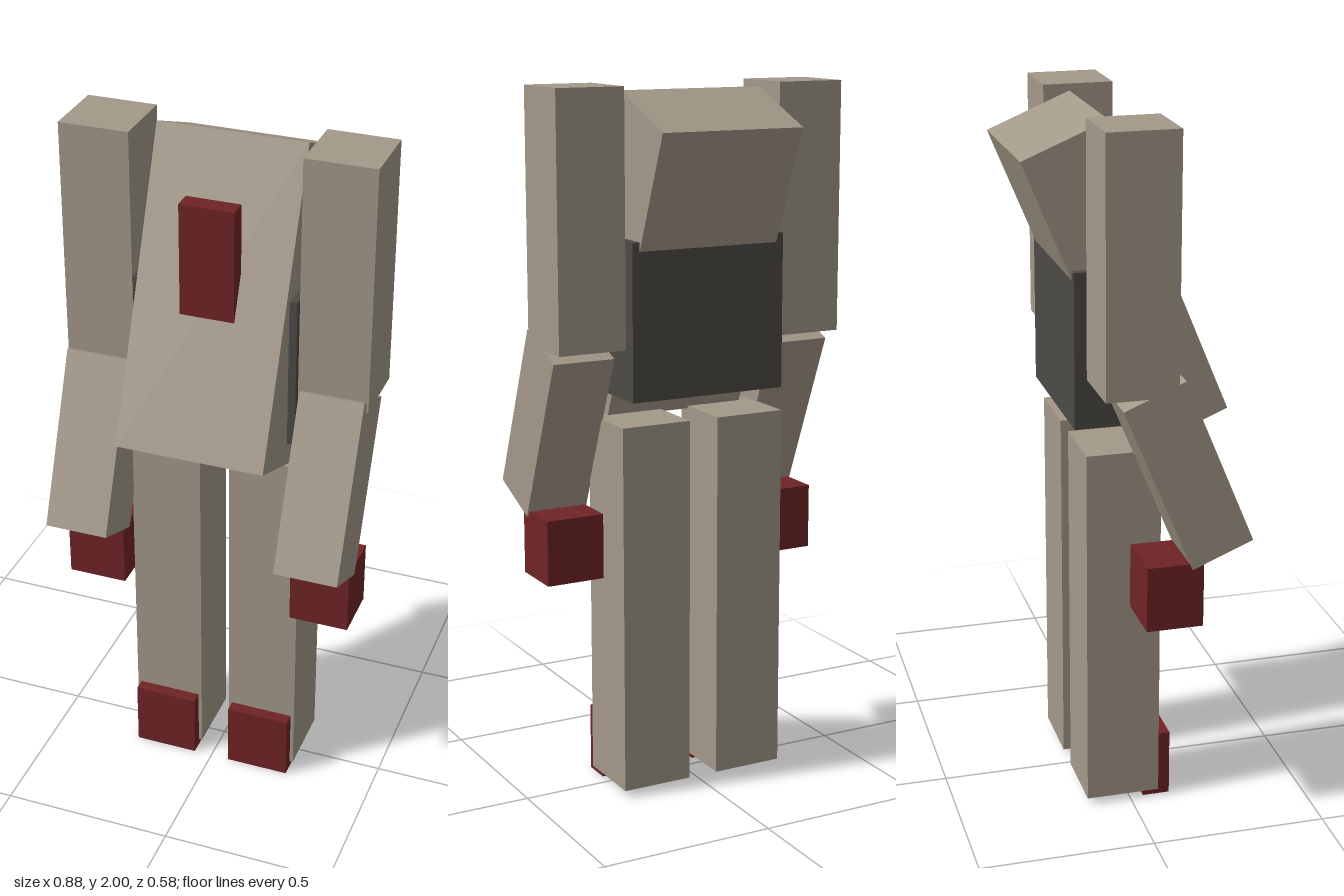
import * as THREE from 'three';

export function createModel() {
  const model = new THREE.Group();
  model.name = 'blockFigure';

  const material = (name, color) => {
    const m = new THREE.MeshStandardMaterial({ color });
    m.name = name;
    return m;
  };
  const taupe = material('taupe', 0xa39989);
  const charcoal = material('charcoal', 0x4d4a45);
  const red = material('darkRed', 0x702325);

  // Box given by size and centre, optionally leaning back about x
  const box = (name, mat, [w, h, d], [x, y, z], lean = 0) => {
    const mesh = new THREE.Mesh(new THREE.BoxGeometry(w, h, d), mat);
    mesh.name = name;
    mesh.position.set(x, y, z);
    mesh.rotation.x = -lean;
    model.add(mesh);
  };

  const LEAN = 0.393; // 22.5 degrees

  // Body
  box('torso', taupe, [0.424, 0.883, 0.254], [0, 1.529, -0.004], LEAN);
  box('waist', charcoal, [0.468, 0.437, 0.239], [0, 1.372, -0.037]);
  box('chestPlate', red, [0.154, 0.32, 0.054], [-0.001, 1.689, 0.108]);

  // Limbs, mirrored: the model's left is +x
  for (const [side, s] of [['left', 1], ['right', -1]]) {
    box(side + 'UpperArm', taupe, [0.199, 0.705, 0.199], [s * 0.338, 1.6475, -0.024]);
    box(side + 'Forearm', taupe, [0.183, 0.509, 0.184], [s * 0.34, 1.064, 0.109], LEAN);
    box(side + 'Hand', red, [0.172, 0.188, 0.16], [s * 0.34, 0.715, 0.075]);
    box(side + 'Leg', taupe, [0.208, 1.06, 0.212], [s * 0.148, 0.55, -0.023]);
    box(side + 'Foot', red, [0.187, 0.197, 0.079], [s * 0.148, 0.0985, 0.079]);
  }

  return model;
}
